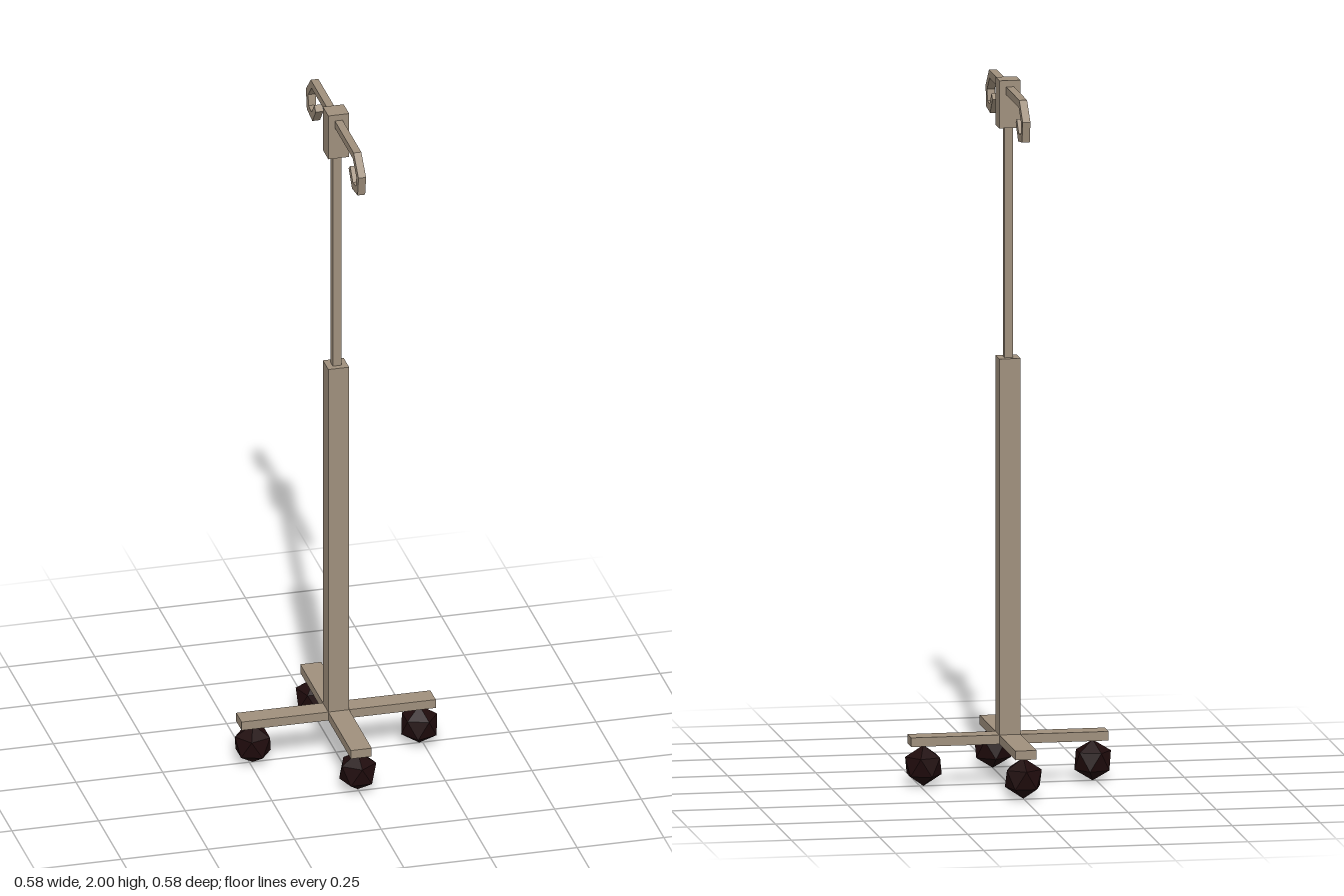
import * as THREE from 'three';

export function createModel() {
  const group = new THREE.Group();
  group.name = 'rollingStand';
  const metal = new THREE.MeshStandardMaterial({ color: 0x9f8f7c, flatShading: true });
  metal.name = 'beige metal';
  const rubber = new THREE.MeshStandardMaterial({ color: 0x1f0b0c, flatShading: true });
  rubber.name = 'dark rubber';

  const add = (name, geometry, material) => {
    const mesh = new THREE.Mesh(geometry, material);
    mesh.name = name;
    group.add(mesh);
    return mesh;
  };
  // square post between two heights
  const post = (name, width, y0, y1) => {
    add(name, new THREE.BoxGeometry(width, y1 - y0, width), metal).position.y = (y0 + y1) / 2;
  };

  post('lowerPole', 0.06, 0.117, 1.21);
  post('upperPole', 0.025, 1.21, 1.865);
  post('headBlock', 0.06, 1.865, 2.0);

  // four legs, each with a faceted ball caster, point up
  const casterGeometry = new THREE.IcosahedronGeometry(0.058, 0);
  casterGeometry.rotateX(-Math.atan((1 + Math.sqrt(5)) / 2));
  for (let i = 0; i < 4; i++) {
    const angle = (i * Math.PI) / 2;
    const leg = add('leg', new THREE.BoxGeometry(0.06, 0.026, 0.25).translate(0, 0.13, 0.155), metal);
    leg.rotation.y = angle;
    const caster = add('caster', casterGeometry, rubber);
    caster.position.set(0.24 * Math.sin(angle), 0.058, 0.24 * Math.cos(angle));
    caster.rotation.y = angle;
  }

  // hook bar: a mitred band along a centre line of (z, y), curled at both ends
  const half = [[0.233, 1.971], [0.279, 1.925], [0.271, 1.88], [0.224, 1.874], [0.19, 1.915]]
    .map(([z, y]) => new THREE.Vector2(z, y));
  const path = [...half].reverse().map((p) => new THREE.Vector2(-p.x, p.y)).concat(half);
  const normal = (a, b) => new THREE.Vector2(a.y - b.y, b.x - a.x).normalize();
  const offset = (distance) => path.map((p, i) => {
    const n0 = normal(path[Math.max(i - 1, 0)], path[Math.max(i, 1)]);
    const last = path.length - 1;
    const n1 = normal(path[Math.min(i, last - 1)], path[Math.min(i + 1, last)]);
    const mitre = n0.clone().add(n1).normalize();
    return p.clone().addScaledVector(mitre, distance / mitre.dot(n0));
  });
  const outline = new THREE.Shape([...offset(0.011), ...offset(-0.011).reverse()]);
  const bar = new THREE.ExtrudeGeometry(outline, { depth: 0.022, bevelEnabled: false });
  bar.translate(0, 0, -0.011).rotateY(-Math.PI / 2);
  add('hookBar', bar, metal);

  return group;
}
